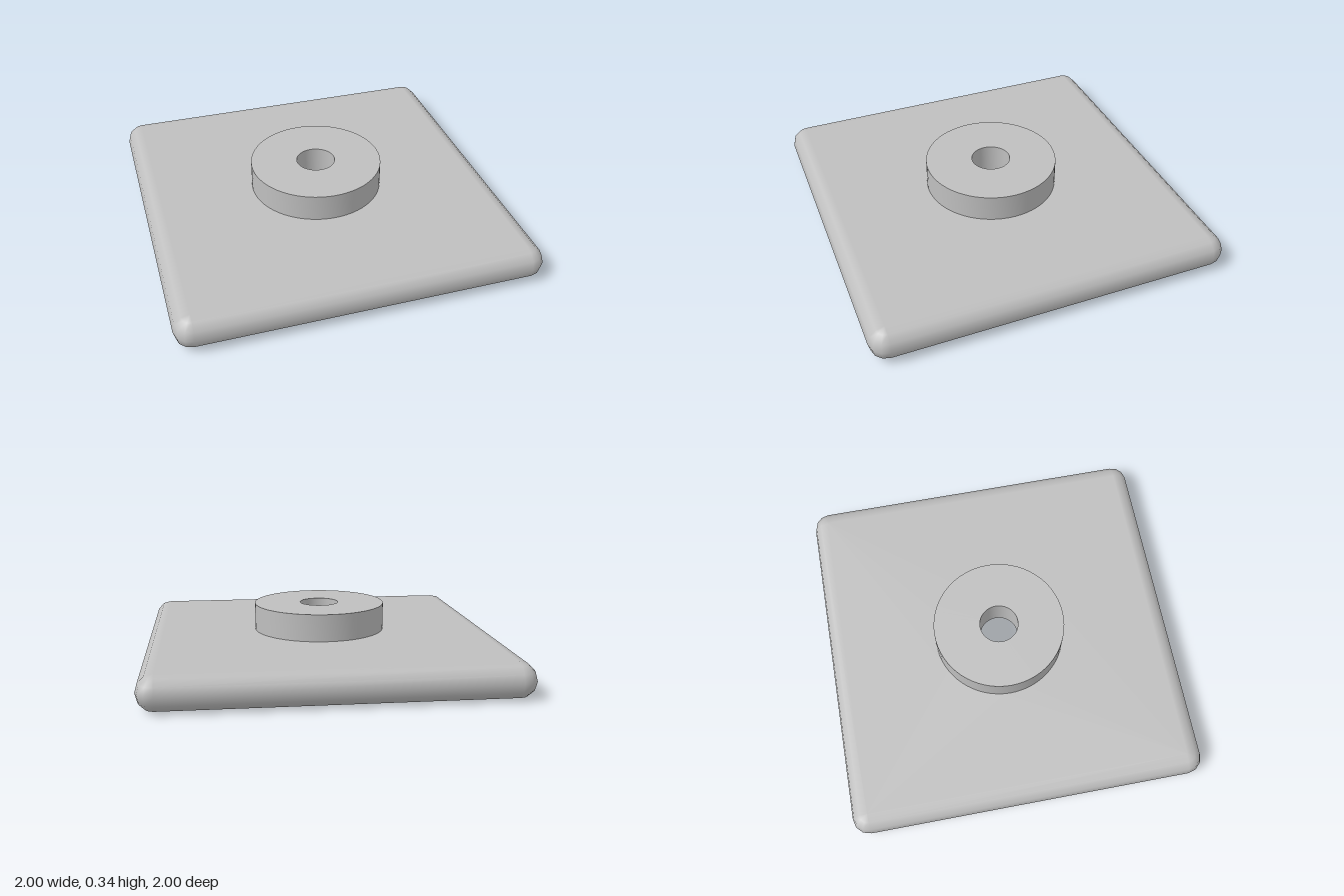
import * as THREE from 'three';
import { toCreasedNormals } from 'three/addons/utils/BufferGeometryUtils.js';

const R = 0.094;          // edge rounding, half the plate thickness
const INNER = 1 - R;      // half width of the flat faces
const BOSS = 0.375, BORE = 0.11, RECESS = 0.217;
const TOP = 0.34, LEDGE = 0.15, SIDES = 64;

// Rounded rim: quarter-arc corners swept through a half-circle section
function rimGeometry(steps = 3) {
  const pos = [], nor = [], idx = [];
  const rows = 2 * steps + 1, cols = 4 * (steps + 1);
  for (let i = 0; i < rows; i++) {
    const lat = (i / (rows - 1) - 0.5) * Math.PI;
    for (let j = 0; j < cols; j++) {
      const corner = Math.floor(j / (steps + 1));
      const lon = (corner + (j % (steps + 1)) / steps) * Math.PI / 2;
      const mid = (corner + 0.5) * Math.PI / 2;
      const nx = Math.cos(lat) * Math.cos(lon);
      const ny = Math.sin(lat);
      const nz = Math.cos(lat) * Math.sin(lon);
      pos.push(Math.sign(Math.cos(mid)) * INNER + R * nx, R + R * ny, Math.sign(Math.sin(mid)) * INNER + R * nz);
      nor.push(nx, ny, nz);
      if (i < rows - 1) {
        const a = i * cols + j, b = i * cols + (j + 1) % cols;
        idx.push(a, a + cols, b, b, a + cols, b + cols);
      }
    }
  }
  const g = new THREE.BufferGeometry();
  g.setAttribute('position', new THREE.Float32BufferAttribute(pos, 3));
  g.setAttribute('normal', new THREE.Float32BufferAttribute(nor, 3));
  g.setIndex(idx);
  return g;
}

// Flat square face with a round opening
function faceGeometry(holeRadius) {
  const s = new THREE.Shape([[-1, -1], [1, -1], [1, 1], [-1, 1]]
    .map(([x, y]) => new THREE.Vector2(x * INNER, y * INNER)));
  s.holes.push(new THREE.Path().absarc(0, 0, holeRadius, 0, Math.PI * 2, true));
  return new THREE.ShapeGeometry(s, SIDES / 2);
}

export function createModel() {
  const group = new THREE.Group();
  const grey = new THREE.MeshStandardMaterial({ color: 0xbfbfbf });
  grey.name = 'grey';
  const add = (name, geometry) => {
    const mesh = new THREE.Mesh(geometry, grey);
    mesh.name = name;
    group.add(mesh);
  };

  // Square base plate
  add('plateRim', rimGeometry());
  add('plateTop', faceGeometry(BOSS).rotateX(-Math.PI / 2).translate(0, 2 * R, 0));
  add('plateUnderside', faceGeometry(RECESS).rotateX(Math.PI / 2));

  // Raised boss with its through hole and the wider recess underneath
  const profile = [[BOSS, 2 * R], [BOSS, TOP], [BORE, TOP], [BORE, LEDGE], [RECESS, LEDGE], [RECESS, 0]]
    .map(([x, y]) => new THREE.Vector2(x, y));
  add('bossAndBore', toCreasedNormals(new THREE.LatheGeometry(profile, SIDES), 0.6));

  return group;
}
